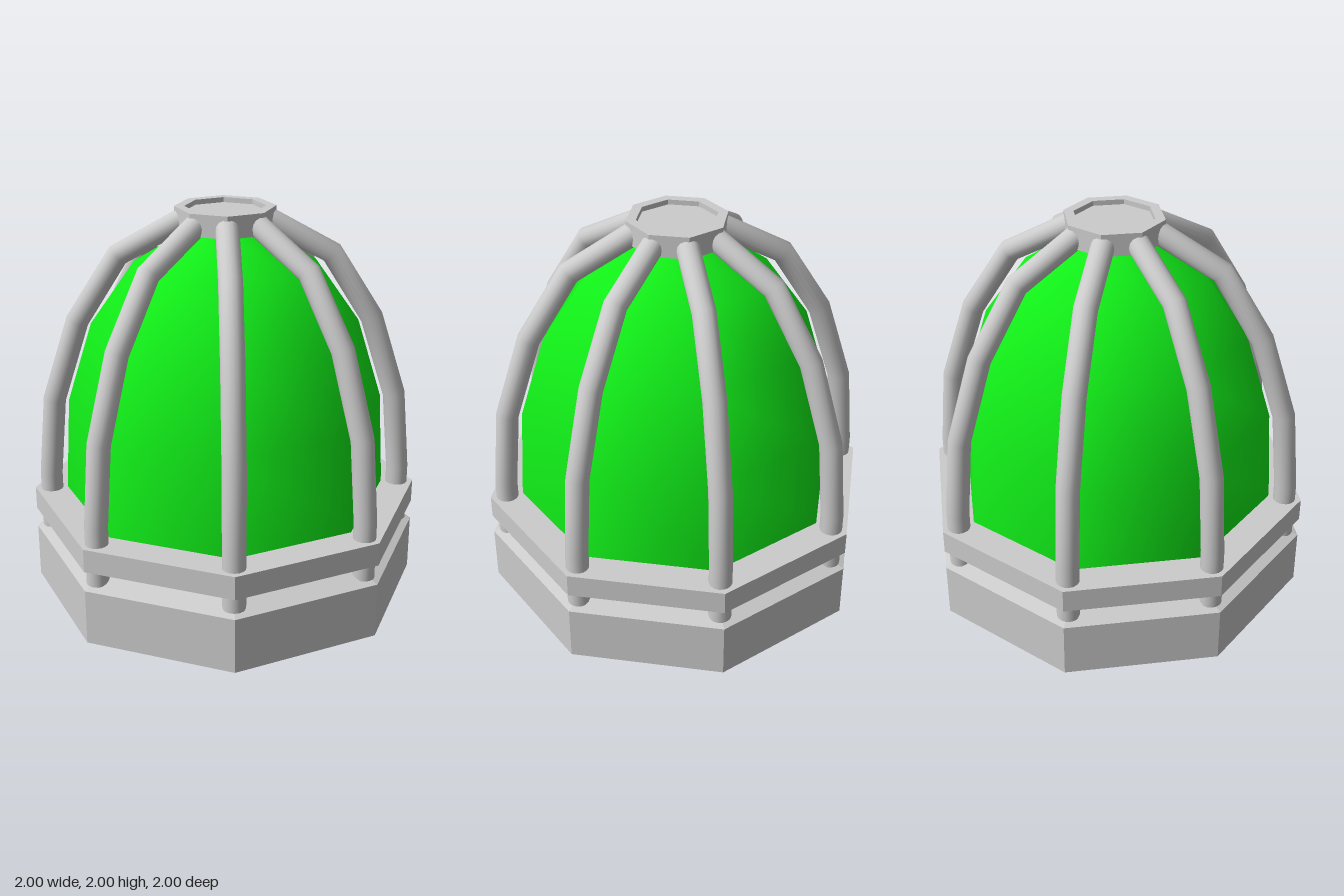
import * as THREE from 'three';

const SIDES = 8;
const BAR_RADIUS = 0.057;
const v2 = (pts) => pts.map(([r, y]) => new THREE.Vector2(r, y));

const grey = new THREE.MeshStandardMaterial({ color: 0xcccccc, flatShading: true, side: THREE.DoubleSide });
const greySmooth = new THREE.MeshStandardMaterial({ color: 0xcccccc, side: THREE.DoubleSide });
const green = new THREE.MeshStandardMaterial({ color: 0x11ee18, side: THREE.DoubleSide });

// Eight-sided turned part; corners lie on the x and z axes
function turned(name, profile, material) {
  const mesh = new THREE.Mesh(new THREE.LatheGeometry(v2(profile), SIDES), material);
  mesh.name = name;
  return mesh;
}

// Straight-segment path that keeps its corners sharp
class Polyline extends THREE.Curve {
  constructor(points) {
    super();
    this.points = points;
  }
  getPoint(t, target = new THREE.Vector3()) {
    const n = this.points.length - 1;
    const i = Math.min(Math.floor(t * n + 1e-9), n - 1);
    return target.lerpVectors(this.points[i], this.points[i + 1], t * n - i);
  }
  getUtoTmapping(u) {
    return u;
  }
}

export function createModel() {
  const model = new THREE.Group();
  model.name = 'cagedLamp';

  // Base shell, open below, with a V groove and a flat top
  model.add(turned('base', [
    [1, 0], [1, 0.285], [0.86, 0.34], [1, 0.39], [1, 0.51], [0, 0.51],
  ], grey));

  // Coloured dome
  model.add(turned('dome', [
    [0.83, 0.33], [0.83, 0.55], [0.803, 1], [0.675, 1.41], [0.45, 1.73], [0.17, 1.89],
  ], green));

  // Top cap with a shallow recess
  model.add(turned('topCap', [
    [0, 1.89], [0.25, 1.89], [0.25, 2], [0.2, 2], [0.2, 1.975], [0, 1.975],
  ], grey));

  // Cage bars, one at each corner
  const path = new Polyline([
    [0.912, 0.3], [0.912, 0.6], [0.875, 1.01], [0.742, 1.425], [0.53, 1.76], [0.2, 1.94],
  ].map(([r, y]) => new THREE.Vector3(r, y, 0)));
  const barGeometry = new THREE.TubeGeometry(path, path.points.length - 1, BAR_RADIUS, 16);
  const endGeometry = new THREE.CircleGeometry(BAR_RADIUS, 16).rotateX(Math.PI / 2).translate(0.912, 0.3, 0);
  for (let i = 0; i < SIDES; i++) {
    const bar = new THREE.Group();
    bar.name = `cageBar${i + 1}`;
    bar.add(new THREE.Mesh(barGeometry, greySmooth), new THREE.Mesh(endGeometry, greySmooth));
    bar.children[0].name = 'barTube';
    bar.children[1].name = 'barEnd';
    bar.rotation.y = (i / SIDES) * Math.PI * 2;
    model.add(bar);
  }
  return model;
}
